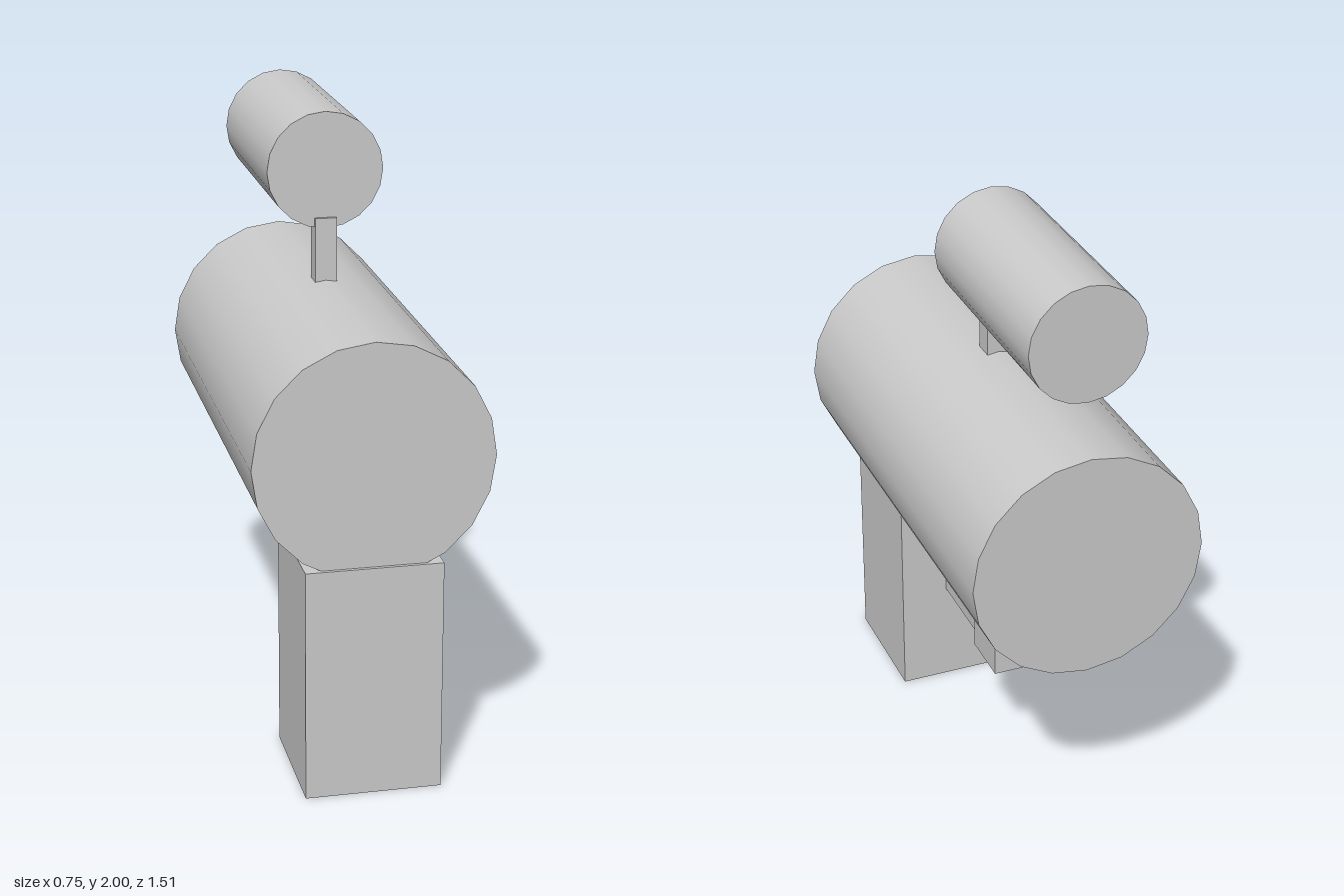
import * as THREE from 'three';

const material = new THREE.MeshStandardMaterial({ color: 0xcccccc });

export function createModel() {
  const model = new THREE.Group();

  const add = (name, geometry, y, z) => {
    const mesh = new THREE.Mesh(geometry, material);
    mesh.name = name;
    mesh.position.set(0, y, z);
    model.add(mesh);
  };
  // Box centred on x, given by its height and depth ranges
  const box = (name, width, y0, y1, z0, z1) =>
    add(name, new THREE.BoxGeometry(width, y1 - y0, z1 - z0), (y0 + y1) / 2, (z0 + z1) / 2);
  // 20-sided smooth cylinder lying along z
  const barrel = (name, radius, length, y, z) =>
    add(name, new THREE.CylinderGeometry(radius, radius, length, 20).rotateX(Math.PI / 2), y, z);

  // Main body and the smaller cylinder held above it
  barrel('body', 0.375, 1.5, 1.082, -0.005);
  barrel('upperCylinder', 0.1875, 0.75, 1.8125, -0.34);
  box('neck', 0.07, 1.44, 1.66, -0.023, 0.047);

  // Supports below the body
  box('frontLeg', 0.43, 0, 0.75, 0.327, 0.757);
  box('crossBar', 0.11, 0.36, 0.47, -0.02, 0.33);
  box('rearBlock', 0.185, 0.37, 0.74, -0.23, -0.045);

  return model;
}
